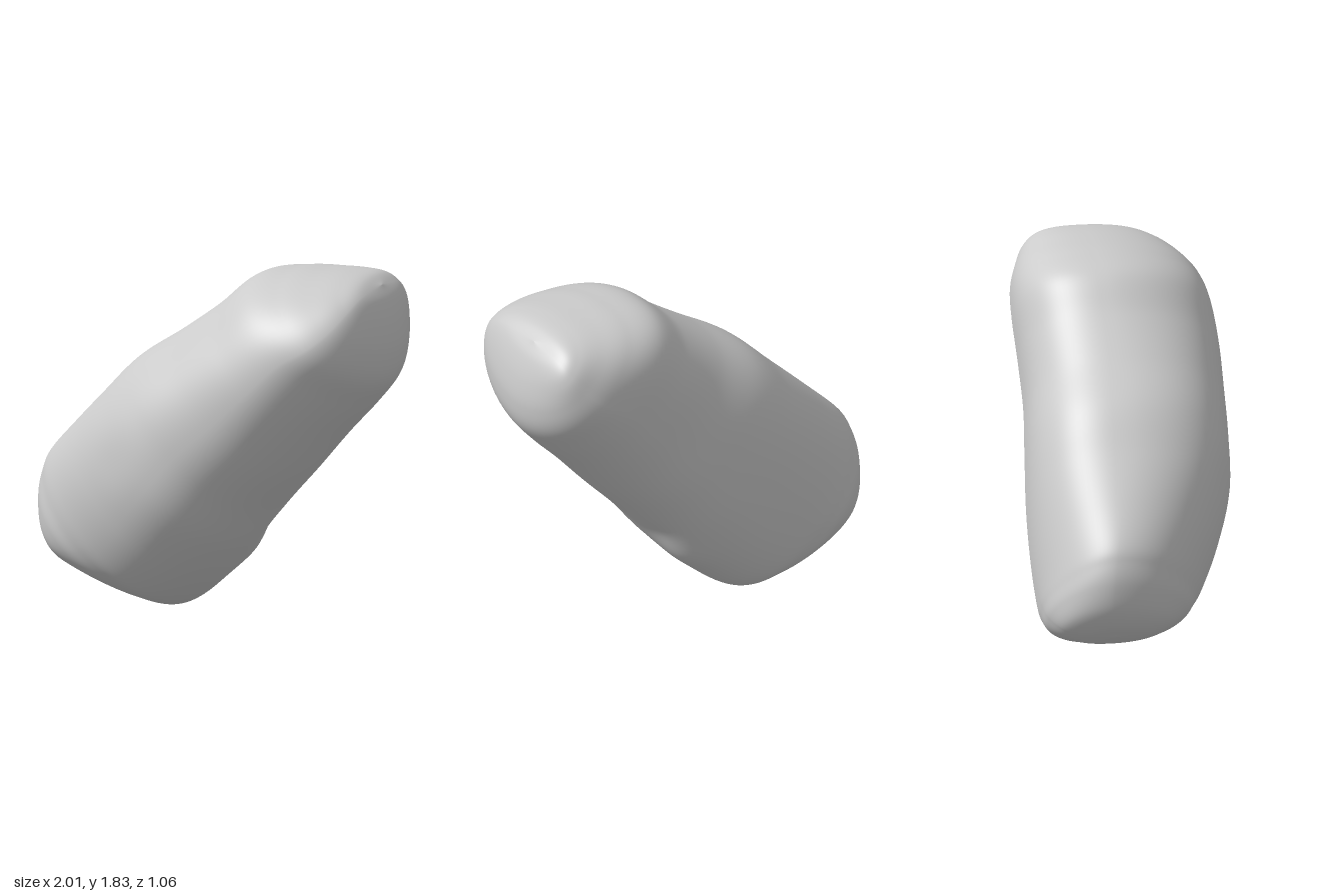
import * as THREE from 'three';
import { mergeVertices } from 'three/addons/utils/BufferGeometryUtils.js';

// Cross-sections along the slanted long axis:
// [distance along axis, underside, upper side, back, front]
const sections = [
  [-1.112, 0.14, 0.14, -0.17, -0.17],
  [-1.098, 0.03, 0.25, -0.32, 0.01],
  [-1.05, -0.07, 0.36, -0.43, 0.125],
  [-0.96, -0.265, 0.46, -0.49, 0.22],
  [-0.87, -0.42, 0.515, -0.51, 0.275],
  [-0.77, -0.52, 0.545, -0.52, 0.33],
  [-0.55, -0.55, 0.55, -0.53, 0.425],
  [-0.27, -0.54, 0.55, -0.53, 0.51],
  [0, -0.505, 0.55, -0.515, 0.525],
  [0.28, -0.49, 0.495, -0.495, 0.53],
  [0.54, -0.47, 0.455, -0.5, 0.53],
  [0.78, -0.46, 0.435, -0.51, 0.51],
  [0.95, -0.435, 0.32, -0.5, 0.47],
  [1.07, -0.355, 0.21, -0.46, 0.39],
  [1.16, -0.245, 0.12, -0.4, 0.28],
  [1.22, -0.13, 0.04, -0.31, 0.13],
  [1.24, -0.04, -0.04, -0.12, -0.12],
];

// Roundness of each quarter of a section at the low end, middle and high end:
// 2 is an ellipse, more is boxier
const quarters = {
  upperFront: [1.85, 2.2, 1.95],
  upperBack: [1.8, 2.6, 2.6],
  lowerFront: [2.1, 2.1, 1.8],
  lowerBack: [2.6, 2.4, 1.95],
};

// Shallow lumps and dents: centre, radius, height
const lumps = [
  [new THREE.Vector3(0.1, 0.3, -0.3), 0.13, 0.02],
  [new THREE.Vector3(0.22, 0.45, -0.25), 0.1, -0.015],
  [new THREE.Vector3(0.9, 1.7, -0.36), 0.12, 0.025],
  [new THREE.Vector3(-0.35, 0.85, 0.48), 0.15, -0.01],
];

const RINGS = 150;
const SEGMENTS = 96;
const CENTRE = new THREE.Vector3(0, 0.92, 0);
const AXIS = new THREE.Vector3(Math.SQRT1_2, Math.SQRT1_2, 0);
const UPPER = new THREE.Vector3(-Math.SQRT1_2, Math.SQRT1_2, 0);

const spline = (points) => new THREE.CatmullRomCurve3(
  points.map((p) => new THREE.Vector3(...p)), false, 'catmullrom', 0.5);

function roundness(c, s, along) {
  const [low, middle, high] = quarters[(c >= 0 ? 'upper' : 'lower') + (s >= 0 ? 'Front' : 'Back')];
  const t = THREE.MathUtils.smoothstep(Math.abs(along), 0.1, 1);
  return THREE.MathUtils.lerp(middle, along < 0 ? low : high, t);
}

function stoneGeometry() {
  const lowerBack = spline(sections.map(([s, under, , back]) => [s, under, back]));
  const upperFront = spline(sections.map(([s, , upper, , front]) => [s, upper, front]));
  const positions = [], index = [];
  const p = new THREE.Vector3(), out = new THREE.Vector3();

  for (let i = 0; i <= RINGS; i++) {
    const lo = lowerBack.getPoint(i / RINGS), hi = upperFront.getPoint(i / RINGS);
    // Where the section is widest in each direction
    const wMid = THREE.MathUtils.lerp(lo.y, hi.y, 0.45);
    const zMid = THREE.MathUtils.lerp(lo.z, hi.z, 0.43);
    for (let j = 0; j < SEGMENTS; j++) {
      const a = (j / SEGMENTS) * Math.PI * 2;
      const c = Math.cos(a), s = Math.sin(a);
      const e = 2 / roundness(c, s, lo.x);
      const w = Math.abs(c) ** e * ((c >= 0 ? hi.y : lo.y) - wMid);
      const z = Math.abs(s) ** e * ((s >= 0 ? hi.z : lo.z) - zMid);
      p.copy(CENTRE).addScaledVector(AXIS, lo.x).addScaledVector(UPPER, wMid + w);
      p.z += zMid + z;
      out.copy(UPPER).multiplyScalar(w);
      out.z += z;
      out.normalize();
      let push = 0;
      for (const [at, radius, height] of lumps) {
        push += height * Math.exp(-p.distanceToSquared(at) / (radius * radius));
      }
      p.addScaledVector(out, push);
      positions.push(p.x, p.y, p.z);

      if (i < RINGS) {
        const k = i * SEGMENTS, n = (j + 1) % SEGMENTS;
        index.push(k + j, k + n, k + SEGMENTS + n, k + j, k + SEGMENTS + n, k + SEGMENTS + j);
      }
    }
  }
  const geometry = new THREE.BufferGeometry();
  geometry.setAttribute('position', new THREE.Float32BufferAttribute(positions, 3));
  geometry.setIndex(index);
  // Join the points at both tips so the shading stays smooth
  const merged = mergeVertices(geometry, 1e-5);
  merged.computeVertexNormals();
  return merged;
}

export function createModel() {
  const group = new THREE.Group();
  group.name = 'rock';
  const stone = new THREE.Mesh(stoneGeometry(), new THREE.MeshStandardMaterial({ color: 0xcccccc }));
  stone.name = 'stone';
  group.add(stone);
  return group;
}
